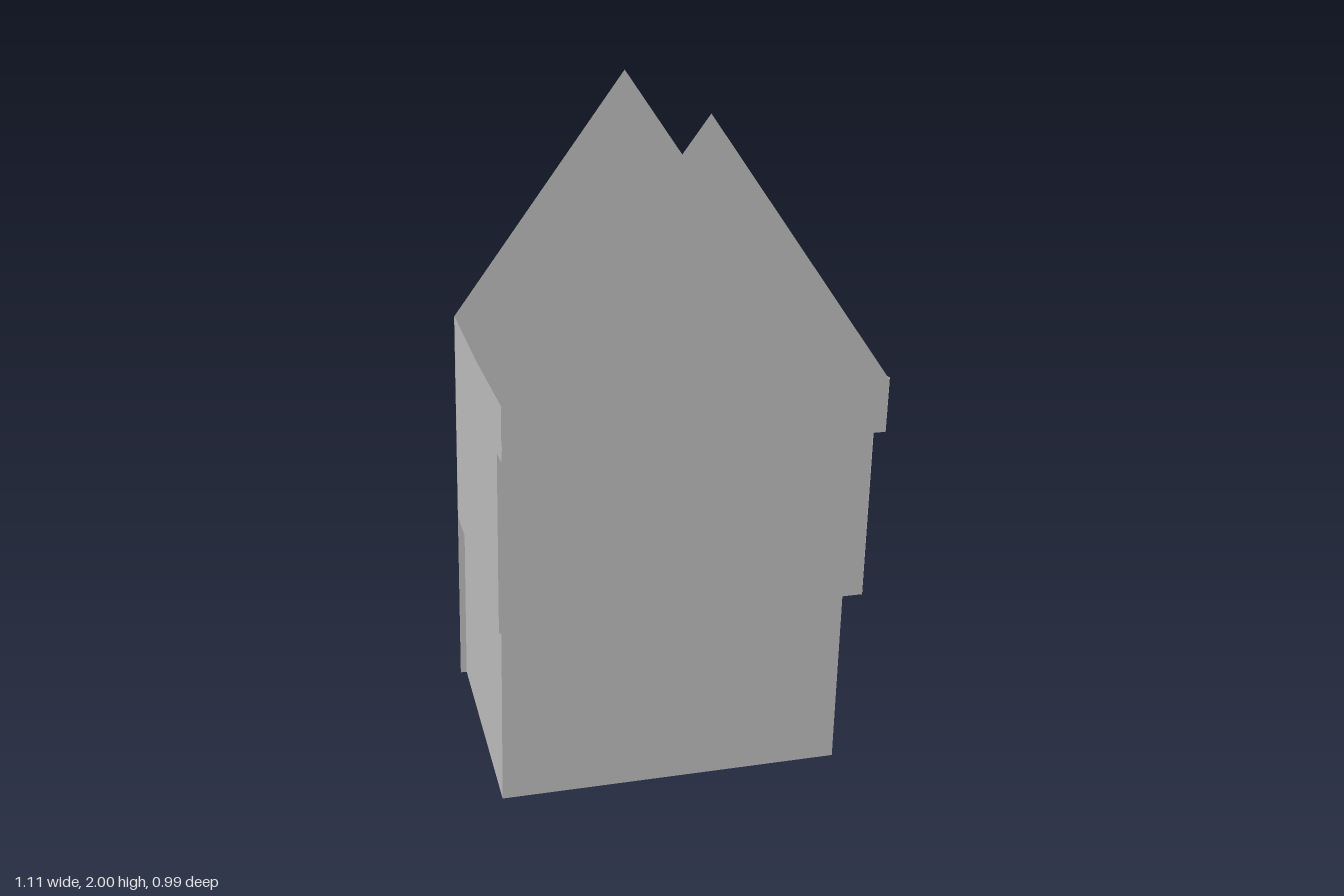
import * as THREE from 'three';

const plaster = new THREE.MeshStandardMaterial({ color: 0xbfbfbf, side: THREE.DoubleSide });
plaster.name = 'grey plaster';

// Flat panel, fanned out from its first corner
function panel(name, corners) {
  const positions = [];
  for (let i = 1; i < corners.length - 1; i++) {
    positions.push(...corners[0], ...corners[i], ...corners[i + 1]);
  }
  const geometry = new THREE.BufferGeometry();
  geometry.setAttribute('position', new THREE.Float32BufferAttribute(positions, 3));
  geometry.computeVertexNormals();
  const mesh = new THREE.Mesh(geometry, plaster);
  mesh.name = name;
  return mesh;
}

// Side wall given as [z, y] corners; the wall leans slightly with height
function sideWall(name, side, xAtHeight, profile) {
  const corners = profile.map(([z, y]) => [xAtHeight(y), y, z]);
  if (side < 0) corners.reverse();
  return panel(name, corners);
}

export function createModel() {
  const house = new THREE.Group();
  house.name = 'house';

  // Front wall, stepping outwards at each storey, with open undersides
  house.add(panel('lowerFrontWall', [
    [-0.535, 0, 0.335], [0.49, 0, 0.335], [0.505, 0.58, 0.33], [-0.52, 0.58, 0.33],
  ]));
  house.add(panel('middleFrontWall', [
    [-0.54, 0.58, 0.418], [0.53, 0.58, 0.418], [0.543, 1.11, 0.412], [-0.528, 1.11, 0.412],
  ]));
  house.add(panel('frontGable', [
    [-0.528, 1.11, 0.497], [0.545, 1.11, 0.497], [0.55, 1.26, 0.495],
    [0.035, 2, 0.485], [-0.525, 1.26, 0.495],
  ]));

  // Back wall and gable in one sheet
  house.add(panel('backWall', [
    [0.515, 0, -0.473], [-0.555, 0, -0.473], [-0.525, 1.25, -0.485],
    [0.035, 2, -0.497], [0.55, 1.25, -0.485],
  ]));

  // Side walls: recessed ground floor, then the jettied upper storeys
  const lower = [[0.335, 0], [-0.473, 0], [-0.478, 0.57], [0.33, 0.58]];
  const upper = [
    [0.412, 1.11], [0.418, 0.58], [-0.478, 0.57], [-0.485, 1.25],
    [0, 1.25], [0.497, 1.267], [0.497, 1.11],
  ];
  // Starting at the inner corner keeps the fan inside the notched outline
  const upperReversed = [...upper.slice(1), upper[0]];
  house.add(sideWall('leftLowerWall', 1, (y) => 0.49 + 0.026 * y, lower));
  house.add(sideWall('rightLowerWall', -1, (y) => -0.535 + 0.026 * y, lower));
  house.add(sideWall('leftUpperWall', 1, (y) => 0.515 + 0.027 * y, upper));
  house.add(sideWall('rightUpperWall', -1, (y) => -0.555 + 0.025 * y, upperReversed));

  return house;
}
